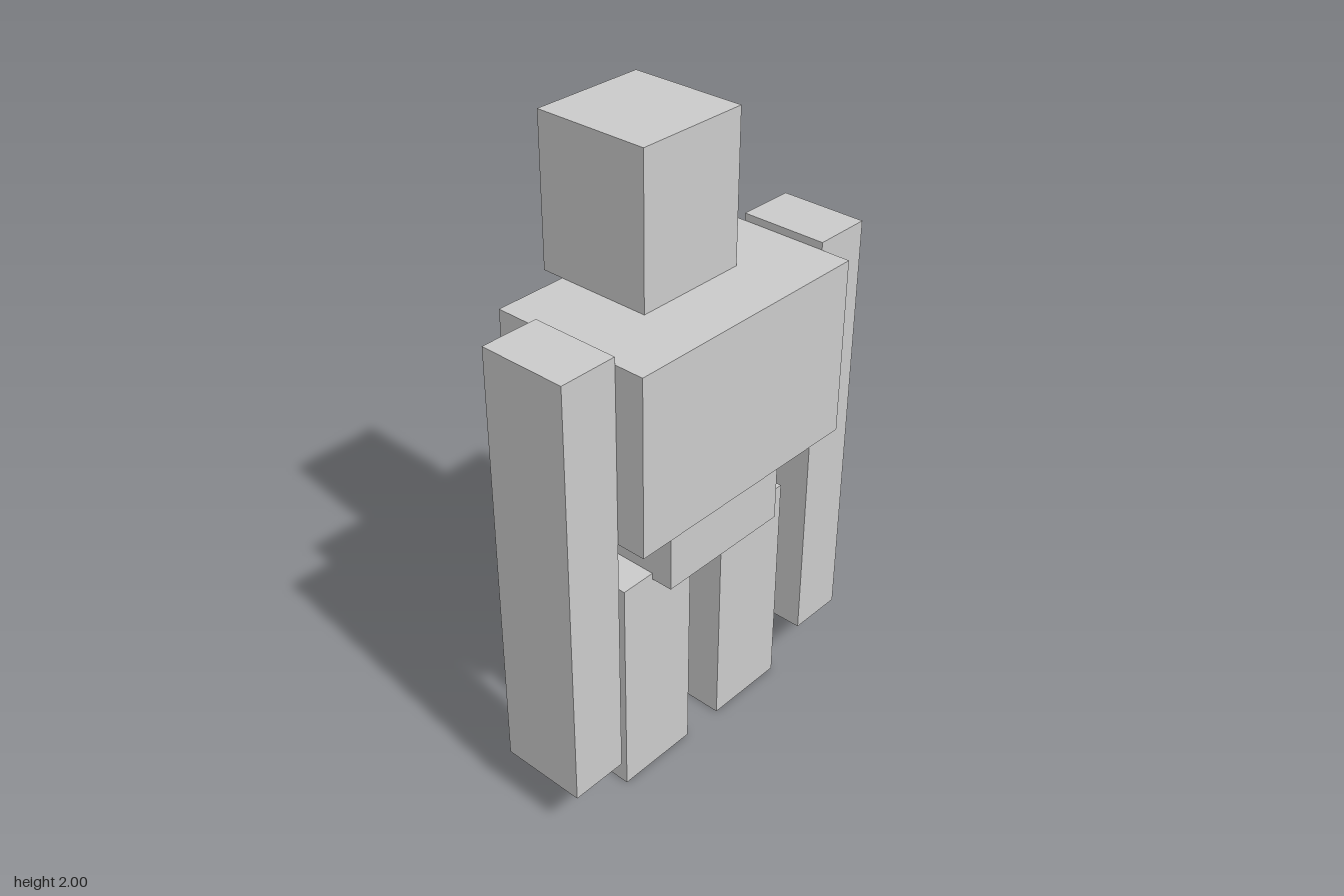
import * as THREE from 'three';

// The figure is laid out on a block grid, 43 blocks tall.
const UNIT = 2 / 43;

export function createModel() {
  const model = new THREE.Group();
  model.name = 'blockFigure';
  const material = new THREE.MeshStandardMaterial({ color: 0xcccccc, flatShading: true });

  // Box spanning two opposite corners, given in blocks
  function block(name, [x0, y0, z0], [x1, y1, z1]) {
    const geometry = new THREE.BoxGeometry((x1 - x0) * UNIT, (y1 - y0) * UNIT, (z1 - z0) * UNIT);
    const mesh = new THREE.Mesh(geometry, material);
    mesh.position.set(x0 + x1, y0 + y1, z0 + z1).multiplyScalar(UNIT / 2);
    mesh.name = name;
    model.add(mesh);
    return mesh;
  }

  // Head with a small nose block on its -z face
  block('head', [-4, 33, -5.25], [4, 43, 2.75]);
  block('nose', [-1, 32, -7.25], [1, 36, -5.25]);

  // Broad chest over a narrow waist
  block('chest', [-9, 21, -3.75], [9, 33, 7.25]);
  block('waist', [-5, 15.55, -1.25], [5, 21.5, 5.75]);

  // Long arms and short legs, mirrored
  for (const [side, sign] of [['left', 1], ['right', -1]]) {
    block(side + 'Arm', [9, 3.5, -0.75], [13, 33.5, 5.25]).position.x *= sign;
    block(side + 'Leg', [1.5, 0, -0.75], [7.5, 16, 4.25]).position.x *= sign;
  }

  return model;
}
